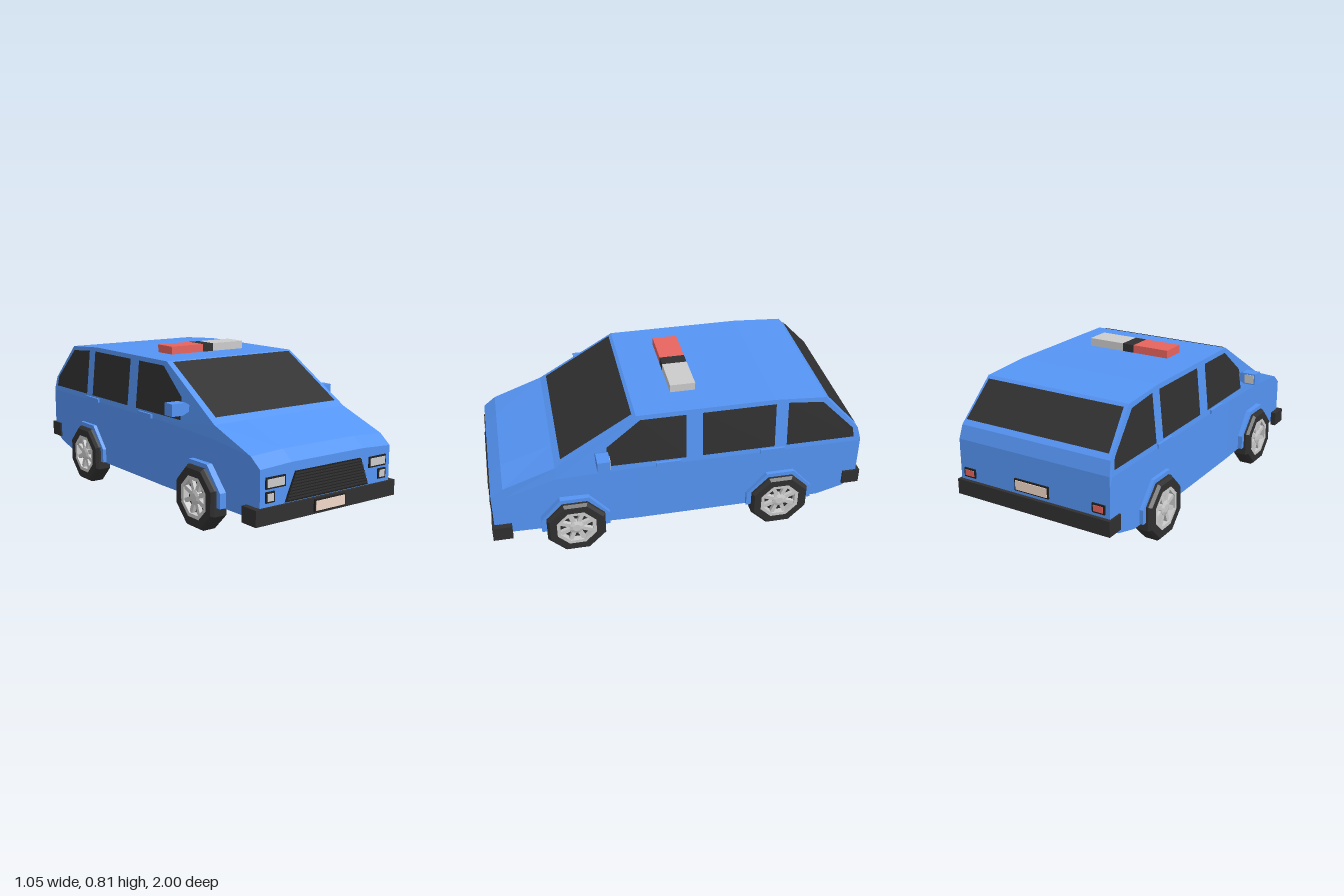
import * as THREE from 'three';

const mat = (color) => new THREE.MeshStandardMaterial({ color, flatShading: true, side: THREE.DoubleSide });

export function createModel() {
  const car = new THREE.Group();
  car.name = 'car';
  const blue = mat(0x5595f5), dark = mat(0x303030), black = mat(0x202020);
  const grey = mat(0xcccccc), red = mat(0xe8645e), cream = mat(0xf2d8c8);

  const add = (parent, name, geometry, material, x = 0, y = 0, z = 0) => {
    const m = new THREE.Mesh(geometry, material);
    m.name = name;
    m.position.set(x, y, z);
    parent.add(m);
    return m;
  };
  // box given by its limits on each axis
  const box = (parent, name, material, x0, x1, y0, y1, z0, z1) =>
    add(parent, name, new THREE.BoxGeometry(x1 - x0, y1 - y0, z1 - z0), material,
      (x0 + x1) / 2, (y0 + y1) / 2, (z0 + z1) / 2);
  // flat convex panel from its corners
  const panel = (parent, name, material, pts) => {
    const g = new THREE.BufferGeometry();
    const v = [];
    for (let i = 1; i < pts.length - 1; i++) v.push(...pts[0], ...pts[i], ...pts[i + 1]);
    g.setAttribute('position', new THREE.Float32BufferAttribute(v, 3));
    g.computeVertexNormals();
    return add(parent, name, g, material);
  };
  const shapeOf = (pts) => new THREE.Shape(pts.map(([x, y]) => new THREE.Vector2(x, y)));
  const extrude = (pts, depth) => new THREE.ExtrudeGeometry(shapeOf(pts), { depth, bevelEnabled: false });

  // half width of the body: narrows to the roof and to the nose
  const halfWidth = (y, z) => 0.44 - 0.1 * Math.max(0, y - 0.47) - 0.03 * Math.max(0, z - 0.22);

  // body: cross-sections from nose to tail [z, sill, belt, top, bonnet bulge]
  const stations = [
    [0.975, 0.13, 0.3, 0.37, 0.01], [0.91, 0.13, 0.36, 0.42, 0.01], [0.64, 0.13, 0.45, 0.518, 0.003],
    [0.22, 0.13, 0.47, 0.773, 0], [-0.5, 0.13, 0.47, 0.773, 0], [-0.77, 0.13, 0.47, 0.755, 0],
    [-0.91, 0.17, 0.47, 0.604, 0], [-0.96, 0.2, 0.47, 0.55, 0], [-0.98, 0.25, 0.42, 0.48, 0],
  ];
  const rings = stations.map(([z, sill, belt, top, bulge]) => {
    const half = [[halfWidth(sill, z), sill], [halfWidth(belt, z), belt], [halfWidth(top, z), top], [0.23, top + bulge]];
    return [...half, ...half.slice().reverse().map(([x, y]) => [-x, y])].map(([x, y]) => [x, y, z]);
  });
  const verts = [];
  const tri = (...p) => p.forEach((q) => verts.push(...q));
  for (let i = 0; i < rings.length - 1; i++) {
    for (let j = 0; j < 8; j++) {
      const k = (j + 1) % 8, a = rings[i], b = rings[i + 1];
      tri(a[j], b[j], b[k]);
      tri(a[j], b[k], a[k]);
    }
  }
  const nose = rings[0], tail = rings[rings.length - 1];
  for (let j = 1; j < 7; j++) {
    tri(nose[0], nose[j], nose[j + 1]);
    tri(tail[0], tail[j + 1], tail[j]);
  }
  const bodyGeo = new THREE.BufferGeometry();
  bodyGeo.setAttribute('position', new THREE.Float32BufferAttribute(verts, 3));
  bodyGeo.computeVertexNormals();
  add(car, 'body', bodyGeo, blue);

  // windscreen and rear window
  panel(car, 'windscreen', dark, [[-0.39, 0.546, 0.607], [0.39, 0.546, 0.607], [0.385, 0.77, 0.238], [-0.385, 0.77, 0.238]]);
  panel(car, 'rearWindow', dark, [[0.415, 0.576, -0.945], [-0.415, 0.576, -0.945], [-0.395, 0.744, -0.789], [0.395, 0.744, -0.789]]);

  // bumpers: a bar wrapped round the corners
  const bumper = (name, y0, y1, zOut, zIn) => {
    const t = Math.sign(zOut) * 0.03;
    const g = extrude([[-0.45, zIn], [-0.45, zOut], [0.45, zOut], [0.45, zIn], [0.42, zIn],
      [0.42, zOut - t], [-0.42, zOut - t], [-0.42, zIn]], y1 - y0);
    g.rotateX(Math.PI / 2);
    add(car, name, g, dark, 0, y1, 0);
  };
  bumper('frontBumper', 0.11, 0.19, 0.988, 0.885);
  bumper('rearBumper', 0.19, 0.27, -1, -0.905);

  // grille with slats
  add(car, 'grille', extrude([[-0.27, 0.195], [0.265, 0.195], [0.21, 0.335], [-0.21, 0.335]], 0.01), black, 0, 0, 0.972);
  for (let i = 0; i < 9; i++) {
    const y = 0.205 + i * 0.0145, w = 0.263 - (y - 0.195) * 0.4;
    box(car, 'grilleSlat', dark, -w, w, y, y + 0.008, 0.98, 0.986);
  }

  // number plates
  box(car, 'frontPlateFrame', black, -0.1, 0.1, 0.12, 0.182, 0.985, 0.996);
  box(car, 'frontPlate', cream, -0.092, 0.092, 0.127, 0.175, 0.99, 1);
  box(car, 'rearPlateFrame', black, -0.1, 0.1, 0.288, 0.35, -0.988, -0.975);
  box(car, 'rearPlate', cream, -0.092, 0.092, 0.295, 0.343, -0.992, -0.98);

  // roof light bar
  box(car, 'lightBarRed', red, -0.24, -0.035, 0.765, 0.815, -0.12, 0.012);
  box(car, 'lightBarCentre', dark, -0.035, 0.032, 0.765, 0.815, -0.12, 0.012);
  box(car, 'lightBarGrey', grey, 0.032, 0.238, 0.765, 0.815, -0.12, 0.012);

  // wheel on the +x side, built about its axle
  const makeWheel = () => {
    const wheel = new THREE.Group();
    wheel.name = 'wheel';
    const lathe = (pts) => {
      const g = new THREE.LatheGeometry(pts.map(([r, y]) => new THREE.Vector2(r, y)), 8, Math.PI / 8);
      return g.rotateZ(-Math.PI / 2);
    };
    add(wheel, 'tyre', lathe([[0, 0], [0.135, 0], [0.166, 0.015], [0.166, 0.085], [0.152, 0.1], [0.112, 0.1], [0.112, 0.065], [0, 0.065]]), dark);
    add(wheel, 'rim', lathe([[0.112, 0.065], [0.112, 0.098], [0.092, 0.098], [0.092, 0.065]]), grey);
    add(wheel, 'hub', lathe([[0.04, 0.06], [0.04, 0.092], [0.022, 0.098], [0, 0.098]]), grey);
    for (let i = 0; i < 8; i++) {
      const spoke = new THREE.BoxGeometry(0.02, 0.07, 0.022);
      spoke.translate(0.08, 0.065, 0).rotateX(Math.PI / 8 + (i * Math.PI) / 4);
      add(wheel, 'spoke', spoke, grey);
    }
    return wheel;
  };

  // everything on the +x side
  const side = new THREE.Group();
  side.name = 'leftSide';
  const archHalf = [[0.18, -0.02], [0.18, 0.055], [0.075, 0.175]];
  const archInner = [[0.065, 0.153], [0.153, 0.063], [0.153, -0.02]];
  const flip = (pts) => pts.map(([x, y]) => [-x, y]).reverse();
  const archGeo = extrude([...archHalf, ...flip(archHalf), ...flip(archInner), ...archInner], 0.06).rotateY(Math.PI / 2);
  for (const z of [0.555, -0.545]) {
    const wheel = makeWheel();
    wheel.position.set(0.387, 0.154, z);
    side.add(wheel);
    add(side, 'wheelArch', archGeo, blue, 0.4, 0.155, z);
  }

  const windows = {
    frontSideWindow: [[0.378, 0.5], [0.373, 0.612], [0.2, 0.75], [-0.035, 0.75], [-0.035, 0.5]],
    middleSideWindow: [[-0.12, 0.5], [-0.12, 0.75], [-0.505, 0.75], [-0.505, 0.5]],
    rearSideWindow: [[-0.57, 0.5], [-0.57, 0.75], [-0.755, 0.732], [-0.93, 0.555], [-0.94, 0.5]],
  };
  for (const [name, pts] of Object.entries(windows)) {
    panel(side, name, dark, pts.map(([z, y]) => [halfWidth(y, z) + 0.004, y, z]).reverse());
  }

  for (const z of [-0.005, -0.56]) box(side, 'doorHandle', blue, 0.43, 0.45, 0.468, 0.49, z, z + 0.13);

  // wing mirror
  add(side, 'wingMirror', extrude([[0.415, 0.555], [0.46, 0.535], [0.525, 0.535], [0.525, 0.597], [0.445, 0.597], [0.415, 0.58]], 0.065), blue, 0, 0, 0.37);
  box(side, 'mirrorGlass', grey, 0.463, 0.518, 0.542, 0.59, 0.367, 0.372);

  // head and tail lights in dark frames
  const lamp = (name, material, x0, x1, y0, y1, z, d) => {
    const f = 0.008;
    box(side, name + 'Frame', black, x0, x1, y0, y1, z - 0.006, z + 0.006);
    box(side, name, material, x0 + f, x1 - f, y0 + f, y1 - f, z + d - 0.006, z + d + 0.006);
  };
  lamp('headlight', grey, 0.27, 0.387, 0.275, 0.33, 0.976, 0.003);
  lamp('indicator', grey, 0.335, 0.387, 0.21, 0.262, 0.976, 0.003);
  lamp('tailLight', red, 0.345, 0.415, 0.288, 0.335, -0.981, -0.003);
  car.add(side);

  const other = side.clone();
  other.name = 'rightSide';
  other.scale.x = -1;
  car.add(other);
  return car;
}
